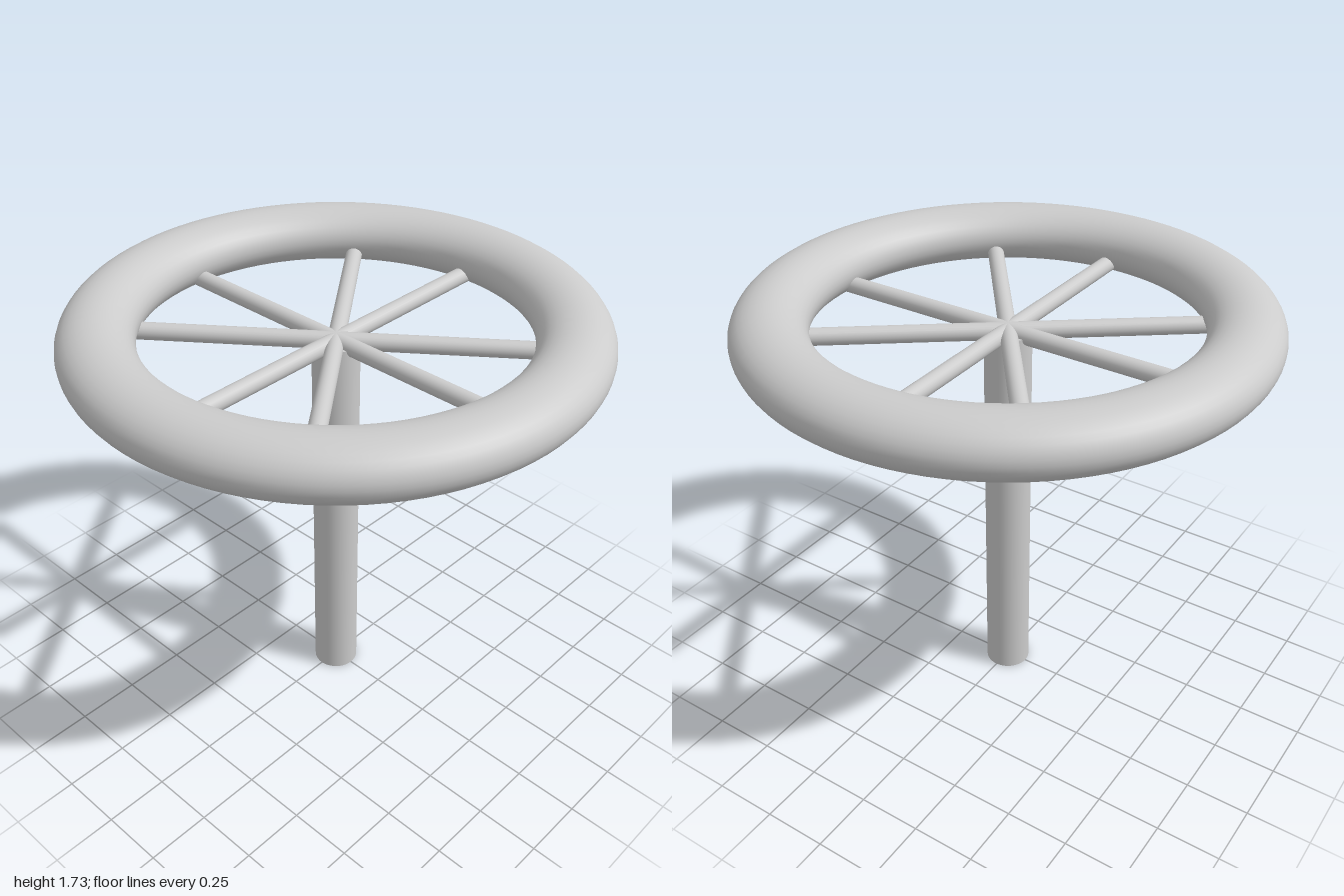
import * as THREE from 'three';

export function createModel() {
  const group = new THREE.Group();
  const material = new THREE.MeshStandardMaterial({ color: 0xcccccc });
  const add = (name, geometry) => {
    const mesh = new THREE.Mesh(geometry, material);
    mesh.name = name;
    group.add(mesh);
    return mesh;
  };

  const spokeY = 1.57;

  // Rim: a ring with a slightly flattened oval section
  const rim = new THREE.TorusGeometry(0.858, 0.142, 32, 96);
  rim.rotateX(Math.PI / 2).scale(1, 0.775, 1);
  add('rim', rim).position.y = 1.62;

  // Column from the ground up to the spokes
  add('column', new THREE.CylinderGeometry(0.09, 0.09, spokeY, 40).translate(0, spokeY / 2, 0));

  // Four bars through the hub make eight spokes; the diagonal pair sits off 45 degrees
  const bar = new THREE.CylinderGeometry(0.033, 0.033, 1.6, 24).rotateZ(Math.PI / 2);
  [0, 37.5, 90, 127.5].forEach((degrees, i) => {
    const spoke = add(`spokePair${i + 1}`, bar);
    spoke.position.y = spokeY;
    spoke.rotation.y = THREE.MathUtils.degToRad(degrees);
  });

  return group;
}
